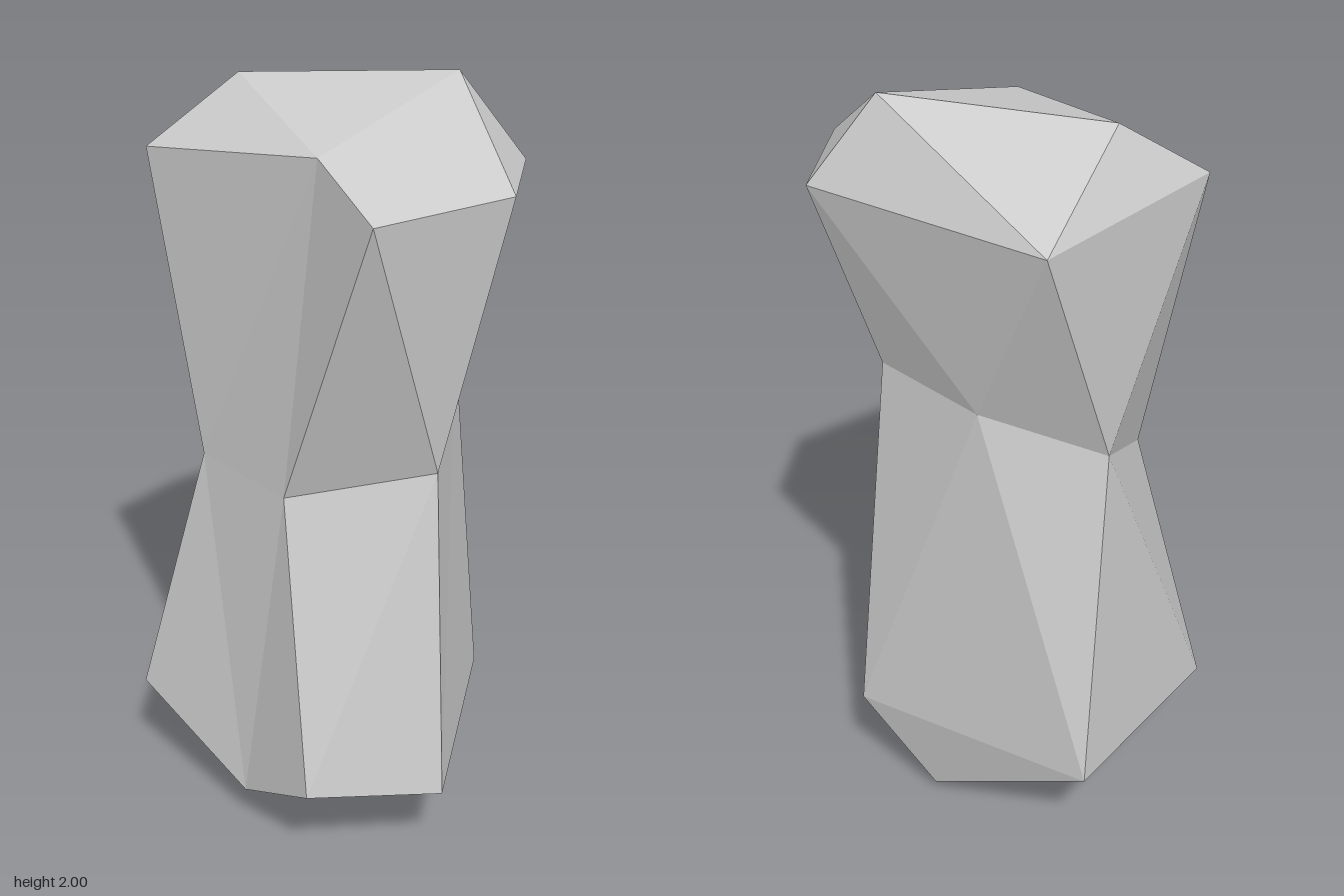
import * as THREE from 'three';

// Six-sided rings, each running left, front, right, back
const base = [[-0.39, 0.27, 0.255], [-0.11, 0.245, 0.47], [0.37, 0.30, 0.175], [0.21, 0.27, -0.47], [-0.34, 0.29, -0.43], [-0.33, 0.11, -0.04]];
const waist = [[-0.255, 1.01, 0.05], [-0.015, 1.095, 0.345], [0.275, 1.31, 0.145], [0.285, 1.29, -0.175], [0.09, 1.185, -0.42], [-0.235, 1.02, -0.265]];
const shoulder = [[-0.283, 1.795, 0.37], [0.115, 1.79, 0.445], [0.388, 1.78, 0.258], [0.336, 1.785, -0.424], [-0.24, 1.805, -0.43], [-0.21, 1.885, 0.13]];

// Ends of the ridge on the top and on the underside
const peak = [0.27, 2.0, 0.137], rearPeak = [-0.014, 1.965, -0.334];
const footRight = [0.275, 0.03, 0], footBack = [-0.04, 0, -0.185];

function createModel() {
  const points = [];
  const tri = (a, b, c) => points.push(...a, ...b, ...c);

  // Side walls: every quad is split along the same diagonal within a band
  const band = (low, high, rising) => low.forEach((a, i) => {
    const j = (i + 1) % low.length;
    const b = low[j], c = high[j], d = high[i];
    if (rising) { tri(a, b, c); tri(a, c, d); }
    else { tri(a, b, d); tri(b, c, d); }
  });

  // Ridged cap: the first k sides of the ring meet p, the rest meet q
  const cap = (ring, k, p, q, down) => {
    const face = down ? (a, b, c) => tri(b, a, c) : tri;
    ring.forEach((a, i) => face(a, ring[(i + 1) % ring.length], i < k ? p : q));
    face(ring[k], q, p);
    face(ring[0], p, q);
  };

  band(base, waist, true);
  band(waist, shoulder, false);
  cap([shoulder[5], ...shoulder.slice(0, 5)], 4, peak, rearPeak, false);
  cap(base.slice(1), 2, footRight, footBack, true);
  tri(base[1], base[0], base[5]); // left lower corner

  const geometry = new THREE.BufferGeometry();
  geometry.setAttribute('position', new THREE.Float32BufferAttribute(points, 3));
  geometry.computeVertexNormals();

  const rock = new THREE.Mesh(geometry, new THREE.MeshStandardMaterial({ color: 0xcccccc, flatShading: true }));
  rock.name = 'rockPillar';
  const group = new THREE.Group();
  group.name = 'rock';
  group.add(rock);
  return group;
}

export { createModel };
